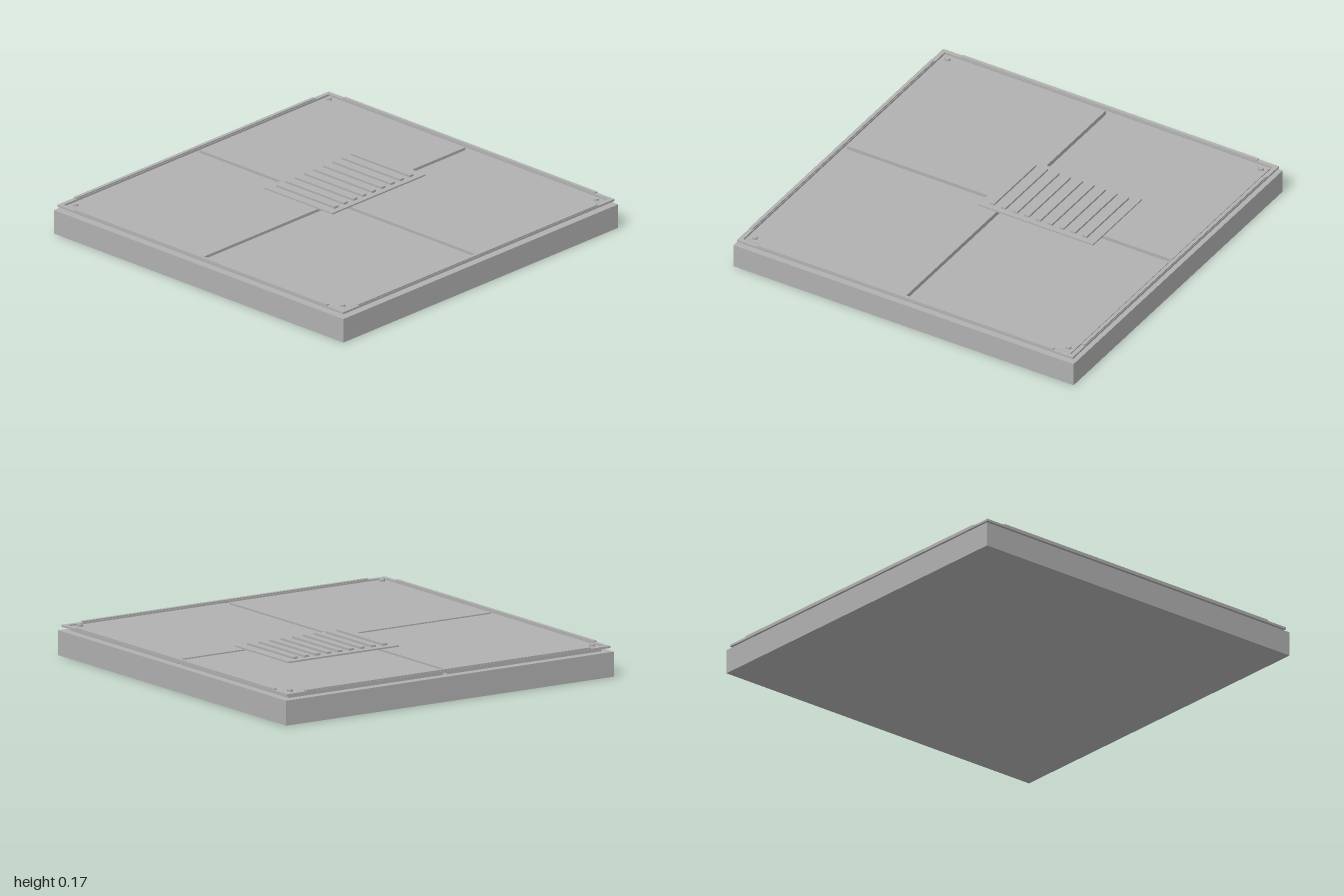
import * as THREE from 'three';

export function createModel() {
  const model = new THREE.Group();
  model.name = 'floorTile';
  const grey = new THREE.MeshStandardMaterial({ color: 0xb0b0b0 });
  grey.name = 'plain grey';

  function add(name, geometry, x, y, z) {
    const mesh = new THREE.Mesh(geometry, grey);
    mesh.name = name;
    mesh.position.set(x, y, z);
    model.add(mesh);
    return mesh;
  }
  // Box given by its lower and upper bounds on each axis
  function block(name, x0, x1, y0, y1, z0, z1) {
    return add(name, new THREE.BoxGeometry(x1 - x0, y1 - y0, z1 - z0),
      (x0 + x1) / 2, (y0 + y1) / 2, (z0 + z1) / 2);
  }
  function square(path, r) {
    return path.moveTo(-r, -r).lineTo(r, -r).lineTo(r, r).lineTo(-r, r).closePath();
  }

  // Thick slab
  block('base', -1, 1, 0, 0.128, -1, 1);

  // Four plates separated by a cross-shaped seam, with corner bolts
  for (const sx of [-1, 1]) {
    for (const sz of [-1, 1]) {
      add('panel', new THREE.BoxGeometry(0.943, 0.024, 0.943), sx * 0.4835, 0.14, sz * 0.4835);
      add('cornerBolt', new THREE.CylinderGeometry(0.015, 0.015, 0.014, 12), sx * 0.922, 0.157, sz * 0.922);
    }
  }

  // Raised border, floating just clear of the slab
  const outline = square(new THREE.Shape(), 0.987);
  outline.holes.push(square(new THREE.Path(), 0.964));
  const frame = new THREE.ExtrudeGeometry(outline, { depth: 0.011, bevelEnabled: false });
  frame.rotateX(-Math.PI / 2);
  add('borderFrame', frame, 0, 0.146, 0);

  // Edge rails stop short of the corners
  for (const s of [-1, 1]) {
    const c = s * 0.976;
    block('edgeRail', -0.87, 0.87, 0.156, 0.164, c - 0.009, c + 0.009);
    block('edgeRail', c - 0.009, c + 0.009, 0.156, 0.164, -0.87, 0.87);
  }

  // Off-centre vent plate with raised slats
  block('ventPlate', -0.12, 0.555, 0.151, 0.16, -0.38, 0.09);
  for (let i = 0; i < 9; i++) {
    const x = -0.059 + i * 0.0682;
    block('ventSlat', x - 0.014, x + 0.014, 0.159, 0.171, -0.345, 0.06);
  }
  return model;
}
